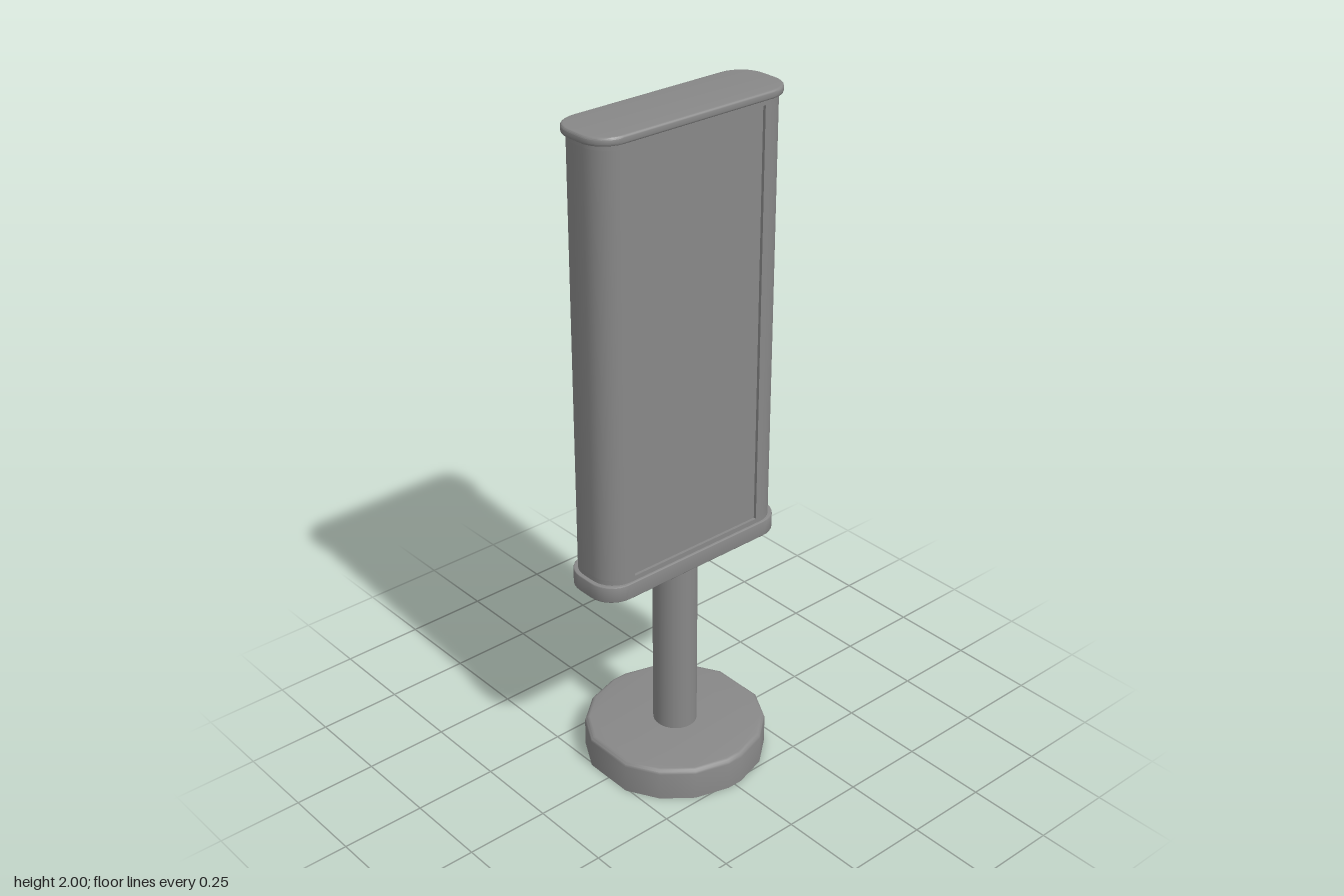
import * as THREE from 'three';
import { toCreasedNormals } from 'three/addons/utils/BufferGeometryUtils.js';

const material = new THREE.MeshStandardMaterial({ color: 0x888888 });

// Upright solid from a counter-clockwise plan outline; levels are [height, inset].
function loft(name, outline, levels) {
  const n = outline.length;
  const halfX = Math.max(...outline.map((p) => p.x));
  const halfZ = Math.max(...outline.map((p) => p.y));
  const pos = [], index = [];
  for (const [y, inset] of levels) {
    for (const p of outline) {
      pos.push(p.x * (1 - inset / halfX), y, -p.y * (1 - inset / halfZ));
    }
  }
  for (let l = 0; l < levels.length - 1; l++) {
    for (let i = 0; i < n; i++) {
      const a = l * n + i, b = l * n + (i + 1) % n;
      index.push(a, b, b + n, a, b + n, a + n);
    }
  }
  const top = (levels.length - 1) * n;
  for (const [a, b, c] of THREE.ShapeUtils.triangulateShape(outline, [])) {
    index.push(c, b, a, top + a, top + b, top + c);
  }
  const geometry = new THREE.BufferGeometry();
  geometry.setAttribute('position', new THREE.Float32BufferAttribute(pos, 3));
  geometry.setIndex(index);
  const mesh = new THREE.Mesh(toCreasedNormals(geometry, 0.7), material);
  mesh.name = name;
  return mesh;
}

// Rounded rectangle in plan, with an optional notch cut into both long sides.
function roundedPlan(hx, hz, r, notch = null) {
  const points = [];
  const corners = [[1, 1, 0], [-1, 1, 1], [-1, -1, 2], [1, -1, 3]];
  for (const [sx, sz, quarter] of corners) {
    for (let i = 0; i <= 8; i++) {
      const t = (quarter + i / 8) * Math.PI / 2;
      points.push(new THREE.Vector2(sx * (hx - r) + r * Math.cos(t), sz * (hz - r) + r * Math.sin(t)));
    }
    if (notch && quarter % 2 === 1) {
      const x = hx - notch.depth;
      for (const [px, pz] of [[hx, notch.half], [x, notch.half], [x, -notch.half], [hx, -notch.half]]) {
        points.push(new THREE.Vector2(sx * px, sz * pz));
      }
    }
  }
  return points;
}

// Levels of a slab whose top (and optionally bottom) edge is rounded.
function slab(y0, y1, r, both) {
  const levels = [];
  for (let i = 0; i <= 3; i++) {
    const t = i / 3 * Math.PI / 2;
    levels.push([y1 - r + r * Math.sin(t), r * (1 - Math.cos(t))]);
  }
  const bottom = both ? levels.map(([y, d]) => [y0 + y1 - y, d]).reverse() : [[y0, 0]];
  return [...bottom, ...levels];
}

export function createModel() {
  const group = new THREE.Group();

  // Faceted foot, one quarter mirrored into four
  const quarter = [[0.265, 0.024], [0.235, 0.126], [0.17, 0.206], [0.078, 0.257]];
  const half = [...quarter, ...quarter.map(([x, z]) => [-x, z]).reverse()];
  const foot = [...half, ...half.map(([x, z]) => [-x, -z])].map(([x, z]) => new THREE.Vector2(x, z));
  group.add(loft('base', foot, slab(0, 0.1, 0.014, false)));

  // Pole, slightly oval in plan
  const pole = new THREE.Mesh(new THREE.CylinderGeometry(0.066, 0.066, 0.6, 32), material);
  pole.name = 'pole';
  pole.scale.z = 0.96;
  pole.position.y = 0.39;
  group.add(pole);

  // Sign cabinet: end plates, rails and a body recessed for the display panels
  const plate = roundedPlan(0.1, 0.325, 0.076);
  const rail = roundedPlan(0.093, 0.313, 0.073);
  const body = roundedPlan(0.093, 0.313, 0.073, { half: 0.225, depth: 0.009 });
  group.add(
    loft('bottomPlate', plate, slab(0.672, 0.721, 0.003, true)),
    loft('bottomRail', rail, [[0.715, 0], [0.735, 0]]),
    loft('signBody', body, [[0.735, 0], [1.964, 0]]),
    loft('topRail', rail, [[1.964, 0], [1.985, 0]]),
    loft('topCap', plate, slab(1.977, 2, 0.006, true)),
  );
  return group;
}
